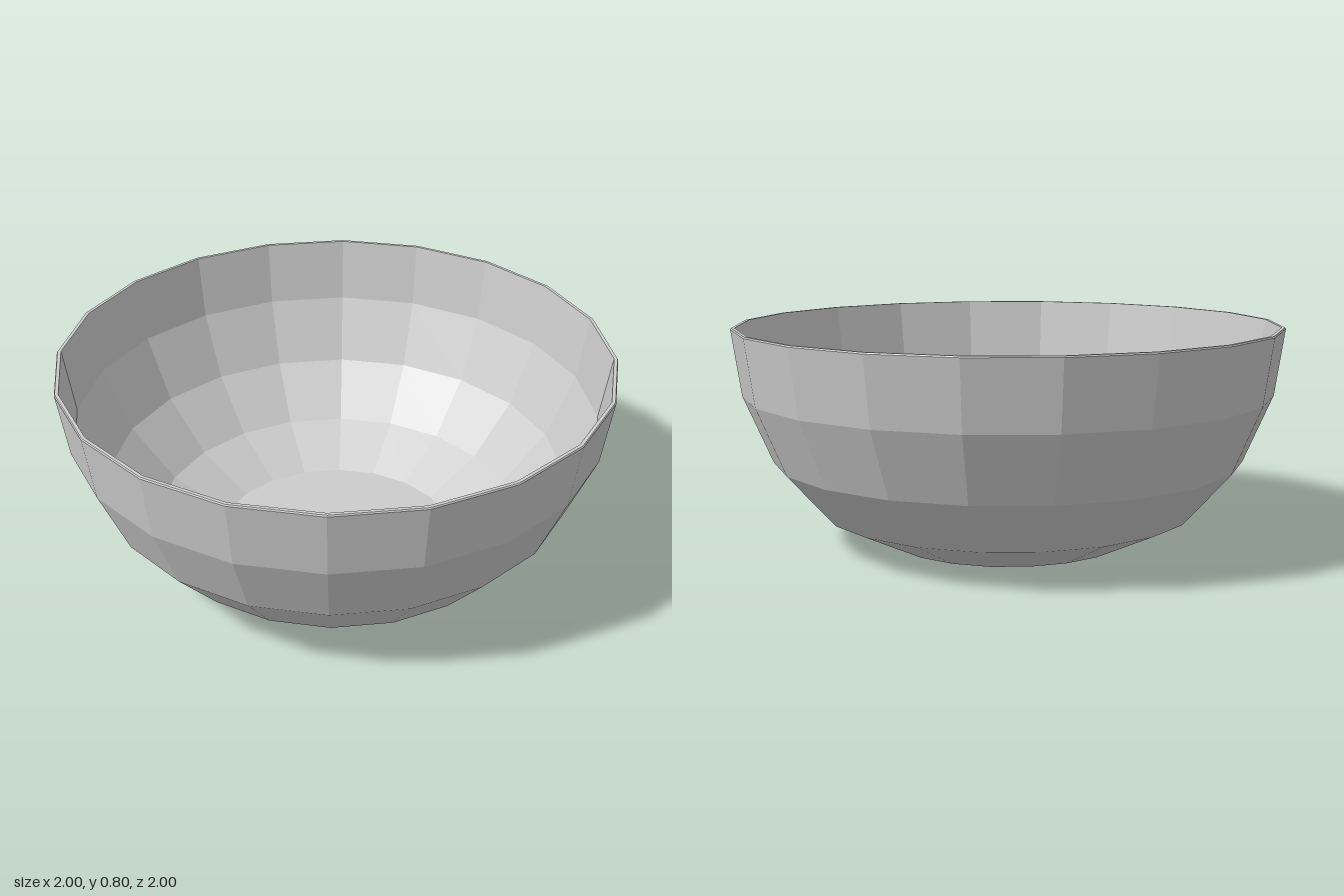
import * as THREE from 'three';

const SIDES = 20;
const grey = new THREE.MeshStandardMaterial({ color: 0xcccccc });
grey.name = 'grey';

// Faceted surface turned around the y axis
function turned(name, profile) {
  const points = profile.map(([r, y]) => new THREE.Vector2(r, y));
  const geometry = new THREE.LatheGeometry(points, SIDES).toNonIndexed();
  geometry.computeVertexNormals();
  const mesh = new THREE.Mesh(geometry, grey);
  mesh.name = name;
  return mesh;
}

// Flat disc closing the bowl, facing up or down
function disc(name, radius, y, tilt) {
  const mesh = new THREE.Mesh(new THREE.CircleGeometry(radius, SIDES), grey);
  mesh.name = name;
  mesh.rotation.x = tilt;
  mesh.position.y = y;
  return mesh;
}

export function createModel() {
  const outer = [[0.44, 0], [0.685, 0.115], [0.86, 0.31], [0.965, 0.555], [1, 0.795]];
  const inner = [[0.985, 0.8], [0.95, 0.56], [0.845, 0.32], [0.675, 0.13], [0.457, 0.015]];

  const bowl = new THREE.Group();
  bowl.name = 'bowl';
  bowl.add(
    turned('outerWall', outer),
    turned('rim', [[1, 0.795], [0.997, 0.8], [0.985, 0.8]]),
    turned('innerWall', inner),
    disc('floor', 0.457, 0.015, -Math.PI / 2),
    disc('base', 0.44, 0, Math.PI / 2),
  );
  return bowl;
}
